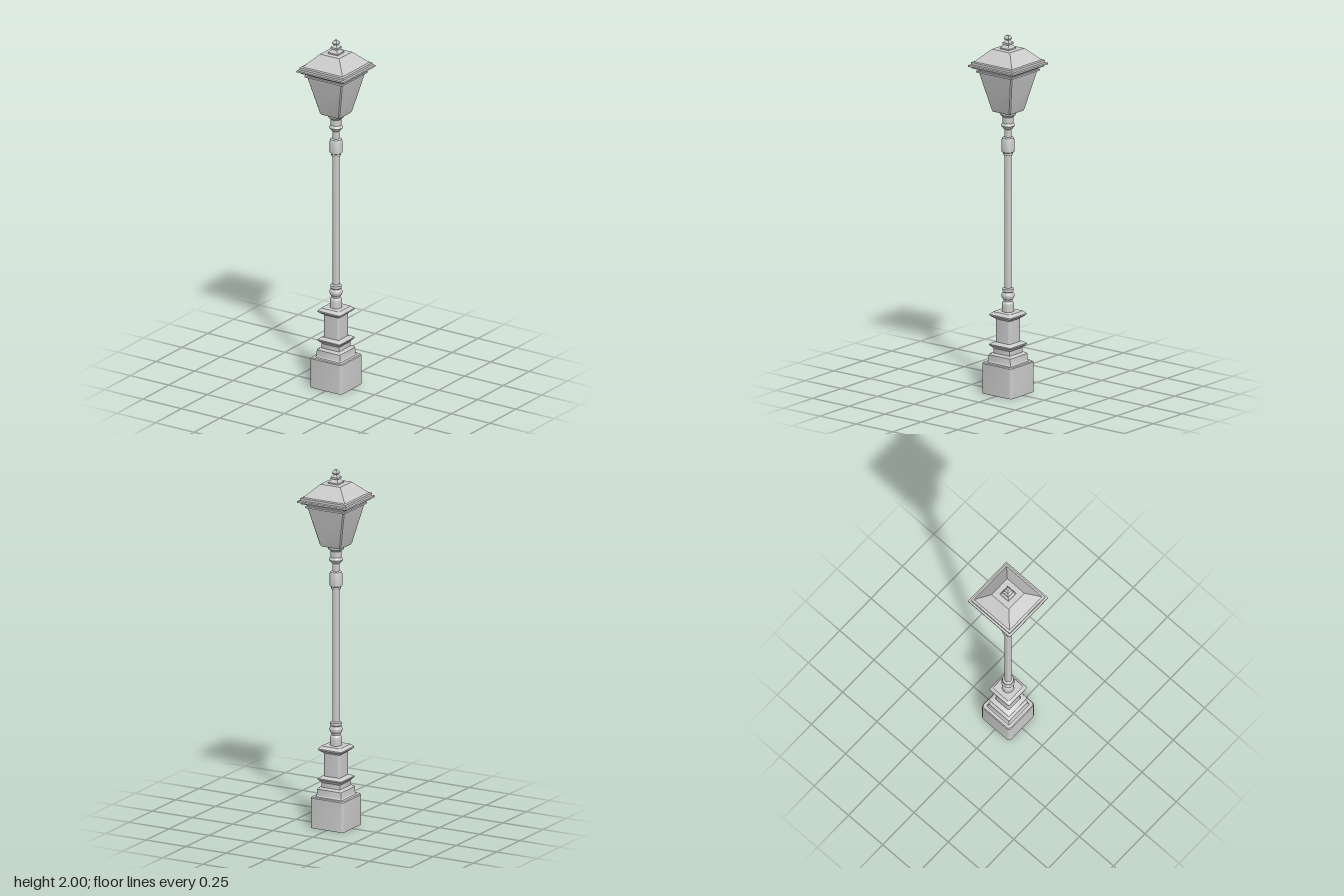
import * as THREE from 'three';
import { toCreasedNormals } from 'three/addons/utils/BufferGeometryUtils.js';

const material = new THREE.MeshStandardMaterial({ color: 0xcccccc, side: THREE.DoubleSide });

// Outline of a square with rounded corners (steps = 0 gives sharp corners).
function squareLoop(y, half, radius, steps) {
  const r = Math.min(radius, half);
  const points = [];
  for (let k = 0; k < 4; k++) {
    const mid = Math.PI / 4 + k * Math.PI / 2;
    const sx = Math.sign(Math.cos(mid)), sz = Math.sign(Math.sin(mid));
    if (steps === 0) points.push([sx * half, y, sz * half]);
    else for (let i = 0; i <= steps; i++) {
      const a = (k + i / steps) * Math.PI / 2;
      points.push([sx * (half - r) + r * Math.cos(a), y, sz * (half - r) + r * Math.sin(a)]);
    }
  }
  return points;
}

// Square-section body from [height, half width] pairs; a half width of 0 closes an end.
function squareBody(name, profile, radius = 0, steps = 0) {
  const loops = profile.map(([y, h]) => squareLoop(y, h, radius, steps));
  const positions = [];
  for (let j = 0; j < loops.length - 1; j++) {
    const a = loops[j], b = loops[j + 1];
    for (let i = 0; i < a.length; i++) {
      const n = (i + 1) % a.length;
      if (profile[j][1] > 0) positions.push(...a[i], ...b[i], ...a[n]);
      if (profile[j + 1][1] > 0) positions.push(...b[i], ...b[n], ...a[n]);
    }
  }
  const geometry = new THREE.BufferGeometry();
  geometry.setAttribute('position', new THREE.Float32BufferAttribute(positions, 3));
  return makeMesh(name, geometry);
}

// Turned body from [height, radius] pairs.
function turnedBody(name, profile) {
  const points = profile.map(([y, r]) => new THREE.Vector2(r, y));
  return makeMesh(name, new THREE.LatheGeometry(points, 24));
}

function makeMesh(name, geometry) {
  const mesh = new THREE.Mesh(toCreasedNormals(geometry, 0.6), material);
  mesh.name = name;
  return mesh;
}

export function createModel() {
  const model = new THREE.Group();
  model.name = 'streetLamp';

  // Pedestal: hollow plinth, steps, and a shaft between two collars
  model.add(
    squareBody('plinth', [[0, 0.103], [0.168, 0.103], [0.173, 0.099], [0.173, 0]], 0.016, 4),
    squareBody('plinthSteps', [
      [0.172, 0.083], [0.18, 0.078], [0.215, 0.076], [0.222, 0.07], [0.224, 0.058], [0.252, 0.058],
    ], 0.006, 2),
    squareBody('lowerCollar', [
      [0.25, 0.058], [0.256, 0.062], [0.268, 0.074], [0.274, 0.074], [0.284, 0.058], [0.286, 0.05],
    ], 0.006, 2),
    squareBody('pedestalShaft', [[0.28, 0.05], [0.42, 0.05]], 0.012, 4),
    squareBody('upperCollar', [
      [0.415, 0.05], [0.42, 0.056], [0.433, 0.073], [0.44, 0.073], [0.455, 0.058], [0.457, 0],
    ], 0.006, 2),
  );

  // Turned foot, pole and sleeve
  model.add(
    turnedBody('poleFoot', [
      [0.455, 0.033], [0.49, 0.033], [0.503, 0.032], [0.513, 0.024], [0.522, 0.024], [0.53, 0.032],
      [0.543, 0.036], [0.556, 0.033], [0.563, 0.027], [0.568, 0.031], [0.583, 0.031], [0.588, 0.019],
    ]),
    turnedBody('pole', [[0.58, 0.0195], [1.34, 0.0195]]),
    turnedBody('sleeve', [
      [1.33, 0.0195], [1.332, 0.026], [1.346, 0.028], [1.35, 0.034], [1.418, 0.034],
      [1.428, 0.03], [1.432, 0.019],
    ]),
    turnedBody('neck', [
      [1.43, 0.019], [1.475, 0.019], [1.48, 0.026], [1.489, 0.034], [1.497, 0.038], [1.505, 0.034],
      [1.511, 0.029], [1.545, 0.029], [1.55, 0.034], [1.559, 0.044], [1.573, 0.046], [1.58, 0.04],
    ]),
  );

  // Lantern: flared panes with narrow corner edges, under a stepped cornice
  model.add(
    squareBody('lanternBody', [
      [1.576, 0], [1.576, 0.061], [1.588, 0.066], [1.8, 0.115], [1.8, 0],
    ], 0.006, 1),
    squareBody('cornice', [
      [1.797, 0], [1.797, 0.122], [1.806, 0.122], [1.806, 0.113], [1.82, 0.113], [1.82, 0.138],
      [1.83, 0.141], [1.83, 0.153], [1.839, 0.153], [1.842, 0.142], [1.855, 0.142], [1.858, 0.13],
    ]),
    squareBody('roof', [[1.858, 0.13], [1.925, 0.0625], [1.925, 0]]),
  );

  // Square finial
  model.add(squareBody('finial', [
    [1.924, 0.031], [1.932, 0.031], [1.942, 0.021], [1.948, 0.016], [1.951, 0.022], [1.961, 0.022],
    [1.969, 0.011], [1.974, 0.009], [1.981, 0.016], [1.987, 0.016], [2, 0.007], [2, 0],
  ]));

  return model;
}
